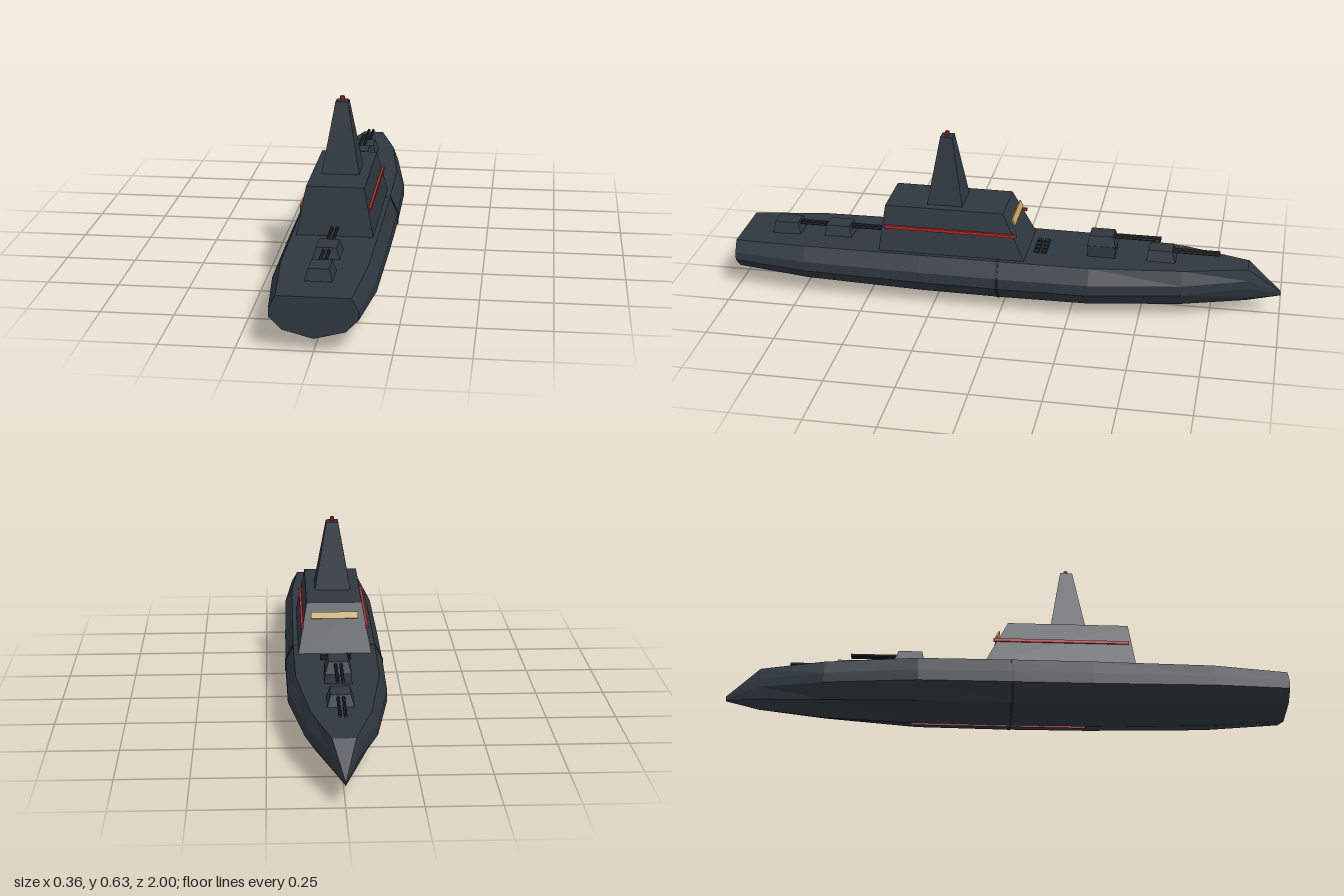
import * as THREE from 'three';

const mat = (name, color) => {
  const m = new THREE.MeshStandardMaterial({ color, flatShading: true });
  m.name = name;
  return m;
};

// Hull half section as fractions of half width and height, deck edge to keel
const HALF = [[0.84, 1], [1, 0.7], [1, 0.49], [0.71, 0.19], [0, 0]];
const RING = [...HALF, ...HALF.slice(0, 4).reverse().map(([x, y]) => [-x, y])];

// Loft through stations [z, halfWidth, bottom, top], listed from stern to bow
function loft(stations) {
  const pos = [], idx = [], n = RING.length, last = (stations.length - 1) * n;
  for (const [z, w, y0, y1] of stations)
    for (const [x, y] of RING) pos.push(x * w, y0 + y * (y1 - y0), z);
  for (let i = 0; i < stations.length - 1; i++)
    for (let j = 0; j < n; j++) {
      const a = i * n + j, b = i * n + (j + 1) % n;
      idx.push(a, b, b + n, a, b + n, a + n);
    }
  for (let j = 1; j < n - 1; j++) {
    idx.push(0, j + 1, j, last, last + j, last + j + 1);
  }
  const g = new THREE.BufferGeometry();
  g.setAttribute('position', new THREE.Float32BufferAttribute(pos, 3));
  g.setIndex(idx);
  const flat = g.toNonIndexed();
  flat.computeVertexNormals();
  return flat;
}

// Tapered block; bottom and top are [halfWidth, zMin, zMax]
function taper(y0, y1, bottom, top) {
  const g = new THREE.BoxGeometry(2, 1, 1).toNonIndexed();
  const p = g.attributes.position;
  for (let i = 0; i < p.count; i++) {
    const up = p.getY(i) > 0, [w, z0, z1] = up ? top : bottom;
    p.setXYZ(i, p.getX(i) * w, up ? y1 : y0, p.getZ(i) > 0 ? z1 : z0);
  }
  g.computeVertexNormals();
  return g;
}

export function createModel() {
  const ship = new THREE.Group();
  ship.name = 'warship';
  const steel = mat('dark steel', 0x2f383f);
  const gunmetal = mat('gunmetal', 0x20262b);
  const red = mat('signal red', 0xb3262a);
  const gold = mat('window gold', 0xc9a45c);

  const add = (name, geometry, material, x = 0, y = 0, z = 0, parent = ship) => {
    const m = new THREE.Mesh(geometry, material);
    m.name = name;
    m.position.set(x, y, z);
    parent.add(m);
    return m;
  };

  // Hull, seam band and keel line
  add('hull', loft([
    [1, 0.143, 0.043, 0.183],
    [0.73, 0.172, 0.02, 0.192],
    [0.3, 0.177, 0.006, 0.195],
    [0, 0.178, 0.004, 0.195],
    [-0.32, 0.174, 0.006, 0.195],
    [-0.65, 0.122, 0.02, 0.192],
    [-0.88, 0.046, 0.045, 0.187],
    [-1, 0.002, 0.075, 0.092],
  ]), steel);
  add('hullSeam', loft([
    [0.018, 0.181, 0.002, 0.1965],
    [0.008, 0.181, 0.002, 0.1965],
  ]), gunmetal);
  add('keelLine', new THREE.BoxGeometry(0.004, 0.006, 0.62), red, 0, 0.003, -0.03);

  // Superstructure and mast tower
  add('superstructure', taper(0.185, 0.362, [0.134, -0.088, 0.456], [0.1, 0, 0.433]), steel);
  add('tower', taper(0.362, 0.611, [0.066, 0.155, 0.285], [0.022, 0.198, 0.242]), steel);
  add('beacon', new THREE.CylinderGeometry(0.008, 0.008, 0.018, 8), red, 0, 0.618, 0.22);

  // Red side rails
  for (const side of [-1, 1])
    add('sideRail', new THREE.BoxGeometry(0.01, 0.011, 0.485), red, side * 0.117, 0.285, 0.19);

  // Bridge window, tilted like the sloping wall behind it
  const bridge = add('bridgeWindow', new THREE.BoxGeometry(0.17, 0.024, 0.006), gold, 0, 0.325, -0.036);
  bridge.rotation.x = Math.atan2(0.088, 0.177);

  // Missile hatches
  for (let i = 0; i < 4; i++)
    for (let j = 0; j < 2; j++)
      add('missileHatch', new THREE.BoxGeometry(0.022, 0.012, 0.02), gunmetal,
        (i - 1.5) * 0.029, 0.196, -0.115 - j * 0.027);

  // Twin gun turrets, all trained towards the bow
  const turret = (name, z, y, raised) => {
    const g = new THREE.Group();
    g.name = name;
    g.position.set(0, y, z);
    ship.add(g);
    const lift = raised ? 0.04 : 0;
    if (raised)
      add('barbette', taper(-0.005, lift, [0.048, -0.05, 0.052], [0.046, -0.048, 0.05]), steel, 0, 0, 0, g);
    add('gunHouse', taper(lift - 0.005, lift + 0.036, [0.046, -0.053, 0.053], [0.034, -0.04, 0.046]),
      steel, 0, 0, 0, g);
    for (const side of [-1, 1]) {
      const b = add('gunBarrel', new THREE.CylinderGeometry(0.006, 0.006, 0.18, 8), gunmetal,
        side * 0.009, lift + 0.026, -0.12, g);
      b.rotation.x = Math.PI / 2;
    }
  };
  turret('foreTurret', -0.567, 0.196, false);
  turret('raisedForeTurret', -0.352, 0.196, true);
  turret('innerAftTurret', 0.63, 0.195, false);
  turret('outerAftTurret', 0.827, 0.194, false);

  return ship;
}
